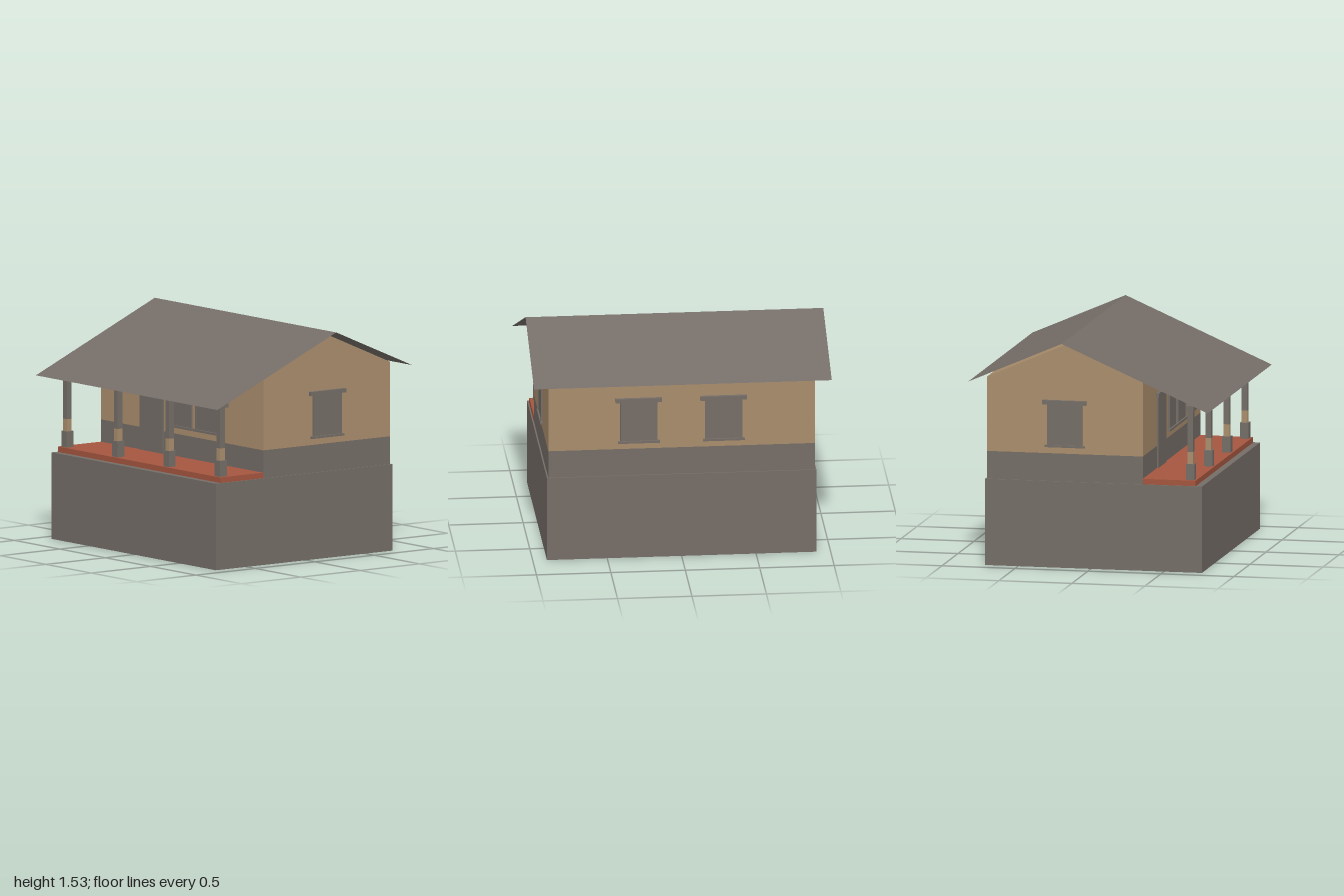
import * as THREE from 'three';

export function createModel() {
  const model = new THREE.Group();
  model.name = 'house';

  const make = (name, color, side = THREE.FrontSide) => {
    const m = new THREE.MeshStandardMaterial({ color, side });
    m.name = name;
    return m;
  };
  const grey = make('stone grey', 0x756d67, THREE.DoubleSide);
  const tan = make('tan plaster', 0xa98d6c);
  const red = make('red tile', 0xa4563f);

  // Box given by its min and max corners
  const box = (name, mat, x0, x1, y0, y1, z0, z1, parent = model) => {
    const mesh = new THREE.Mesh(new THREE.BoxGeometry(x1 - x0, y1 - y0, z1 - z0), mat);
    mesh.position.set((x0 + x1) / 2, (y0 + y1) / 2, (z0 + z1) / 2);
    mesh.name = name;
    parent.add(mesh);
    return mesh;
  };

  const W = 0.895, FRONT = 0.353, BACK = -0.715, RIDGE = -0.181;

  // Foundation, porch floor and lower wall
  box('foundation', grey, -0.905, 0.905, 0, 0.585, -0.725, 0.76);
  box('porchFloor', red, -W, W, 0.585, 0.622, FRONT, 0.715);
  box('lowerWall', grey, -W, W, 0.585, 0.773, BACK, FRONT);

  // Upper walls with gables, extruded along x
  const gable = new THREE.Shape([
    [-FRONT, 0.773], [-BACK, 0.773], [-BACK, 1.277], [-RIDGE, 1.51], [-FRONT, 1.277],
  ].map(([u, v]) => new THREE.Vector2(u, v)));
  const wallGeo = new THREE.ExtrudeGeometry(gable, { depth: 2 * W, bevelEnabled: false });
  wallGeo.translate(0, 0, -W).rotateY(Math.PI / 2);
  const upperWall = new THREE.Mesh(wallGeo, tan);
  upperWall.name = 'upperWall';
  model.add(upperWall);

  // Two thin roof sheets meeting at the ridge
  const roofSheet = (name, zEave, yEave) => {
    const dz = zEave - RIDGE, dy = yEave - 1.535;
    const geo = new THREE.PlaneGeometry(2, Math.hypot(dz, dy));
    geo.rotateX(-Math.PI / 2);
    if (dz < 0) geo.rotateY(Math.PI);
    geo.rotateX(Math.atan2(-dy, Math.abs(dz)) * Math.sign(dz));
    const mesh = new THREE.Mesh(geo, grey);
    mesh.position.set(0, (1.535 + yEave) / 2, (RIDGE + zEave) / 2);
    mesh.name = name;
    model.add(mesh);
  };
  roofSheet('frontRoof', 0.82, 1.1);
  roofSheet('backRoof', -0.82, 1.257);

  // Porch posts and the beam they carry
  for (const x of [-0.846, -0.285, 0.281, 0.843]) {
    const post = new THREE.Group();
    post.name = 'porchPost';
    post.position.set(x, 0, 0.672);
    box('postBase', grey, -0.029, 0.029, 0.622, 0.73, -0.029, 0.029, post);
    box('postFoot', tan, -0.02, 0.02, 0.73, 0.812, -0.02, 0.02, post);
    box('postShaft', grey, -0.02, 0.02, 0.812, 1.09, -0.02, 0.02, post);
    model.add(post);
  }
  box('porchBeam', grey, -W, W, 1.09, 1.127, 0.645, 0.699);

  // Shuttered window with sill and lintel, built facing +z
  const addWindow = (x, z, turn, width = 0.24) => {
    const g = new THREE.Group();
    g.name = 'window';
    const h = width / 2;
    box('windowPanel', grey, -h, h, 0.83, 1.107, -0.01, 0.008, g);
    for (const s of [-1, 1]) {
      const c = s * (h - 0.004);
      box('windowJamb', grey, c - 0.004, c + 0.004, 0.83, 1.107, -0.01, 0.013, g);
    }
    box('windowSill', grey, -h - 0.015, h + 0.015, 0.816, 0.831, -0.01, 0.019, g);
    box('windowLintel', grey, -h - 0.03, h + 0.03, 1.107, 1.135, -0.01, 0.022, g);
    g.position.set(x, 0, z);
    g.rotation.y = turn;
    model.add(g);
  };
  addWindow(0.002, FRONT, 0, 0.228);
  addWindow(0.287, FRONT, 0, 0.25);
  addWindow(0.287, BACK, Math.PI, 0.25);
  addWindow(-0.283, BACK, Math.PI, 0.25);
  addWindow(W, RIDGE, Math.PI / 2);
  addWindow(-W, RIDGE, -Math.PI / 2);

  // Front door with lintel
  box('door', grey, -0.455, -0.2, 0.622, 1.107, FRONT - 0.01, FRONT + 0.01);
  box('doorLintel', grey, -0.485, -0.17, 1.107, 1.135, FRONT - 0.01, FRONT + 0.022);

  return model;
}
